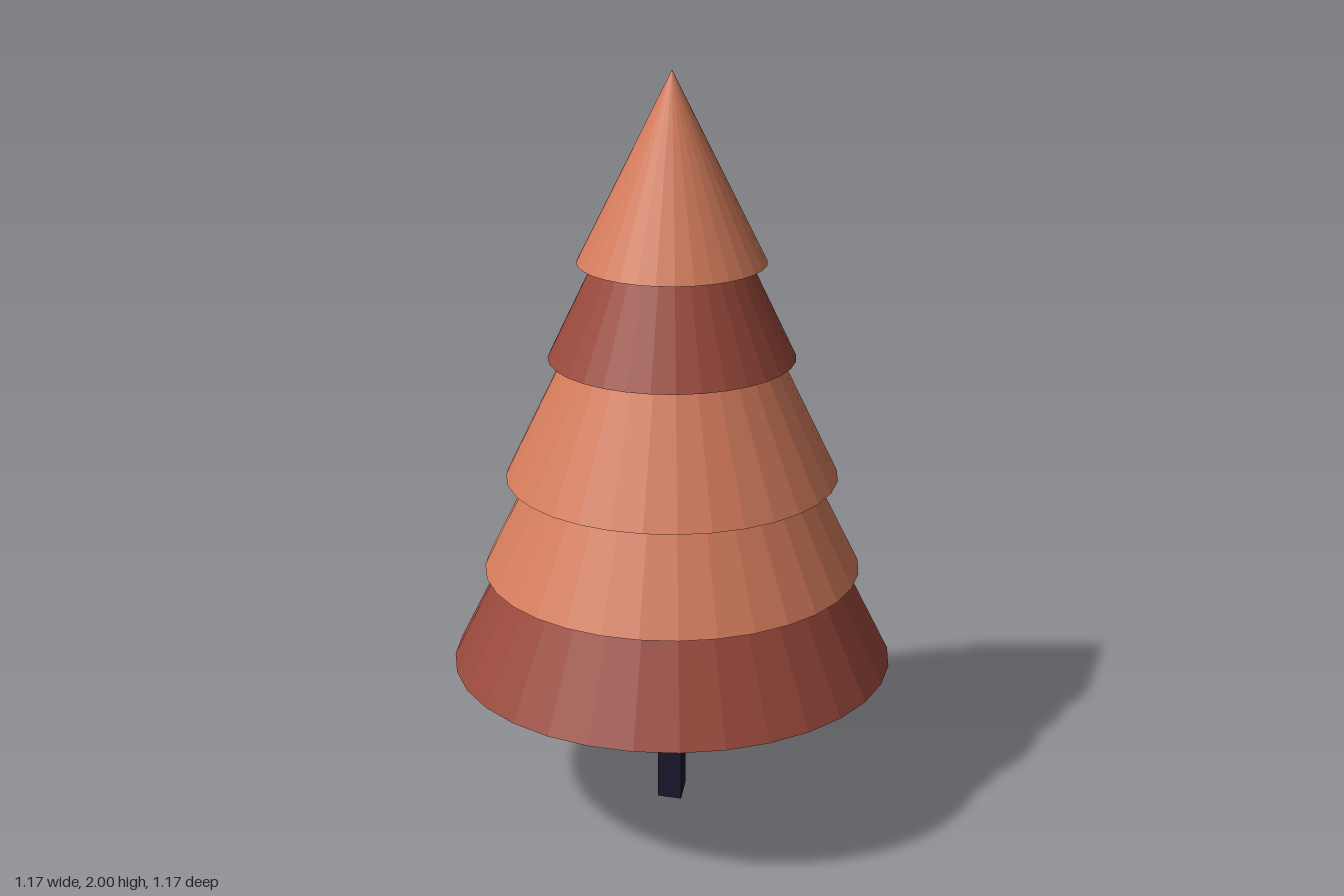
import * as THREE from 'three';

export function createModel() {
  const tree = new THREE.Group();
  tree.name = 'tree';

  const material = (color) => new THREE.MeshStandardMaterial({ color, flatShading: true });
  const light = material(0xd47c5c);
  const dark = material(0x9a493c);
  const bark = material(0x1c1830);

  // Nested foliage cones, bottom to top: [radius, base height, apex height, material]
  const tiers = [
    [0.585, 0.43, 1.6, dark],
    [0.497, 0.69, 1.69, light],
    [0.435, 0.945, 1.84, light],
    [0.32, 1.265, 1.93, dark],
    [0.243, 1.515, 2.0, light],
  ];
  tiers.forEach(([radius, base, apex, mat], i) => {
    const tier = new THREE.Mesh(new THREE.ConeGeometry(radius, apex - base, 32), mat);
    tier.position.y = (base + apex) / 2;
    tier.name = `foliageTier${i + 1}`;
    tree.add(tier);
  });

  // Trunk: a slim post whose foot is cut slightly askew
  const height = 0.5;
  const geometry = new THREE.BoxGeometry(0.064, height, 0.082);
  geometry.translate(0, height / 2, 0);
  const p = geometry.attributes.position;
  for (let i = 0; i < p.count; i++) {
    if (p.getY(i) < 0.01) p.setY(i, 0.008 - 0.06 * p.getX(i) - 0.12 * p.getZ(i));
  }
  geometry.computeVertexNormals();
  const trunk = new THREE.Mesh(geometry, bark);
  trunk.name = 'trunk';
  tree.add(trunk);

  return tree;
}
